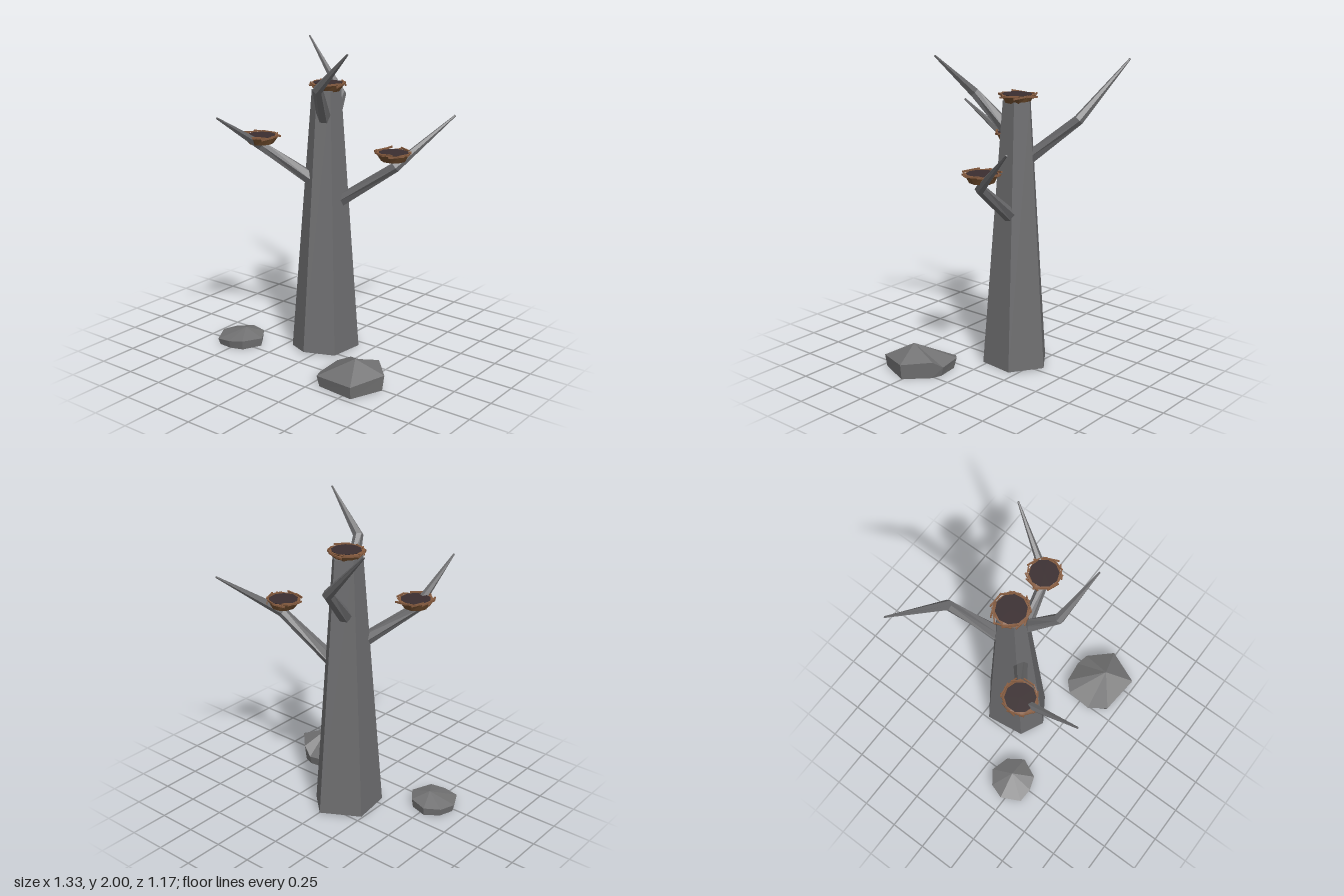
import * as THREE from 'three';

const mat = (name, color) => {
  const m = new THREE.MeshStandardMaterial({ color, flatShading: true });
  m.name = name;
  return m;
};
const V = (x, y, z) => new THREE.Vector3(x, y, z);

// Joins equal-length rings (counter-clockwise about the growth direction) and caps the ends.
function loft(rings, capStart = true, capEnd = true) {
  const n = rings[0].length, pos = [];
  const tri = (...ps) => ps.forEach(p => pos.push(p.x, p.y, p.z));
  const middle = ring => ring.reduce((s, p) => s.add(p), V(0, 0, 0)).divideScalar(n);
  for (let k = 0; k + 1 < rings.length; k++) {
    for (let i = 0; i < n; i++) {
      const j = (i + 1) % n, a = rings[k], b = rings[k + 1];
      tri(a[i], a[j], b[j]);
      tri(a[i], b[j], b[i]);
    }
  }
  const first = rings[0], last = rings[rings.length - 1], c0 = middle(first), c1 = middle(last);
  for (let i = 0; i < n; i++) {
    const j = (i + 1) % n;
    if (capStart) tri(c0, first[j], first[i]);
    if (capEnd) tri(c1, last[i], last[j]);
  }
  const g = new THREE.BufferGeometry();
  g.setAttribute('position', new THREE.Float32BufferAttribute(pos, 3));
  g.computeVertexNormals();
  return g;
}

// Bent branch: six-sided rings at the base, elbow and tip.
function branchGeometry(points, radii) {
  const p = points.map(q => V(...q));
  const rings = p.map((c, k) => {
    const d = V(0, 0, 0);
    if (k > 0) d.add(p[k].clone().sub(p[k - 1]).normalize());
    if (k < p.length - 1) d.add(p[k + 1].clone().sub(p[k]).normalize());
    d.normalize();
    const u = V(0, 1, 0).cross(d).normalize(), v = d.clone().cross(u);
    return Array.from({ length: 6 }, (_, i) => {
      const a = i / 6 * Math.PI * 2;
      return c.clone().addScaledVector(u, Math.cos(a) * radii[k]).addScaledVector(v, Math.sin(a) * radii[k]);
    });
  });
  return loft(rings);
}

// Faceted boulder: outline points [x, y, z] form the widest ring, with a peak above.
function rockGeometry(outline, peak) {
  const c = V(...peak);
  const mid = outline.map(q => V(...q));
  const base = mid.map(q => V(c.x + (q.x - c.x) * 0.93, 0, c.z + (q.z - c.z) * 0.93));
  const top = mid.map(() => c.clone());
  return loft([base, mid, top], true, false);
}

function seeded(seed) {
  return () => {
    seed = (seed * 16807) % 2147483647;
    return seed / 2147483647;
  };
}

export function createModel() {
  const model = new THREE.Group();
  model.name = 'deadTree';
  const bark = mat('greyBark', 0x6c6c6e);
  const stone = mat('greyStone', 0x717172);
  const twig = mat('brownTwig', 0x845a3e);
  const weave = mat('darkWeave', 0x6c4a2c);
  const lining = mat('nestLining', 0x3a2e30);
  const add = (parent, name, geometry, material) => {
    const mesh = new THREE.Mesh(geometry, material);
    mesh.name = name;
    parent.add(mesh);
    return mesh;
  };

  // Tapered trunk with an uneven six-sided section
  const foot = [[-0.05, 0.14], [0.12, 0.03], [0.145, -0.2], [-0.02, -0.355], [-0.24, -0.2], [-0.205, 0.06]];
  const section = (s, y) => foot.map(([x, z]) => V(-0.05 + (x + 0.05) * s, y, -0.108 + (z + 0.108) * s));
  const bottom = section(1, 0);
  bottom[0].y = bottom[3].y = 0.018;
  add(model, 'trunk', loft([bottom, section(0.42, 1.71)]), bark);

  // Branches
  const branches = {
    leftBranch: [[0.03, 0.99, -0.13], [0.41, 1.26, -0.2], [0.61, 1.55, -0.56]],
    rightBranch: [[-0.1, 1.145, -0.01], [-0.35, 1.365, 0.19], [-0.345, 1.6, 0.58]],
    backBranch: [[-0.09, 1.36, -0.18], [-0.2, 1.61, -0.46], [-0.56, 1.95, -0.58]],
    frontBranch: [[-0.02, 1.54, -0.04], [0.07, 1.75, 0.14], [0.34, 1.995, 0.21]],
  };
  for (const [name, pts] of Object.entries(branches))
    add(model, name, branchGeometry(pts, [0.045, 0.033, 0.006]), bark);

  // Nests: woven bowl, flat rim, dark lining and loose twigs
  const nests = [[-0.35, 1.375, 0.18], [0.395, 1.3, -0.2], [-0.045, 1.7, -0.11]];
  nests.forEach((at, index) => {
    const nest = new THREE.Group();
    nest.name = 'nest' + (index + 1);
    nest.position.set(...at);
    nest.rotation.y = index * 0.7;
    model.add(nest);
    const rnd = seeded(37 + index * 911);
    const ring = (r, y, jitter) => Array.from({ length: 10 }, (_, i) => {
      const a = i / 10 * Math.PI * 2, q = r + (rnd() - 0.5) * jitter;
      return V(Math.cos(a) * q, y + (rnd() - 0.5) * jitter * 0.3, -Math.sin(a) * q);
    });
    const edge = ring(0.107, 0.047, 0.018);
    add(nest, 'bowl', loft([ring(0.078, 0, 0), edge], true, false), weave);
    add(nest, 'rim', loft([edge, ring(0.09, 0.049, 0)], false, false), twig);
    const disc = add(nest, 'lining', new THREE.CylinderGeometry(0.094, 0.09, 0.006, 10), lining);
    disc.position.y = 0.048;
    for (let i = 0; i < 11; i++) {
      const a = (i + rnd() * 0.5) / 11 * Math.PI * 2, r = 0.1 + rnd() * 0.009;
      const stick = add(nest, 'twig', new THREE.BoxGeometry(0.008, 0.011, 0.07 + rnd() * 0.04), twig);
      stick.position.set(Math.cos(a) * r, 0.04 + rnd() * 0.015, -Math.sin(a) * r);
      stick.rotation.set((rnd() - 0.5) * 0.35, a + (rnd() - 0.5) * 0.5, 0, 'YXZ');
    }
  });

  // Boulders at the foot
  add(model, 'largeRock', rockGeometry([
    [0.24, 0.05, 0.16], [0.23, 0.03, 0.33], [0.3, 0.07, 0.45], [0.57, 0.08, 0.475],
    [0.66, 0.1, 0.25], [0.52, 0.11, 0.105], [0.45, 0.06, 0.08], [0.3, 0.07, 0.1],
  ], [0.48, 0.178, 0.3]), stone);
  add(model, 'smallRock', rockGeometry([
    [-0.63, 0.05, 0.13], [-0.665, 0.05, 0.23], [-0.6, 0.04, 0.355], [-0.5, 0.05, 0.36],
    [-0.41, 0.06, 0.33], [-0.35, 0.055, 0.2], [-0.42, 0.06, 0.1], [-0.54, 0.055, 0.065],
  ], [-0.49, 0.1, 0.2]), stone);

  return model;
}
